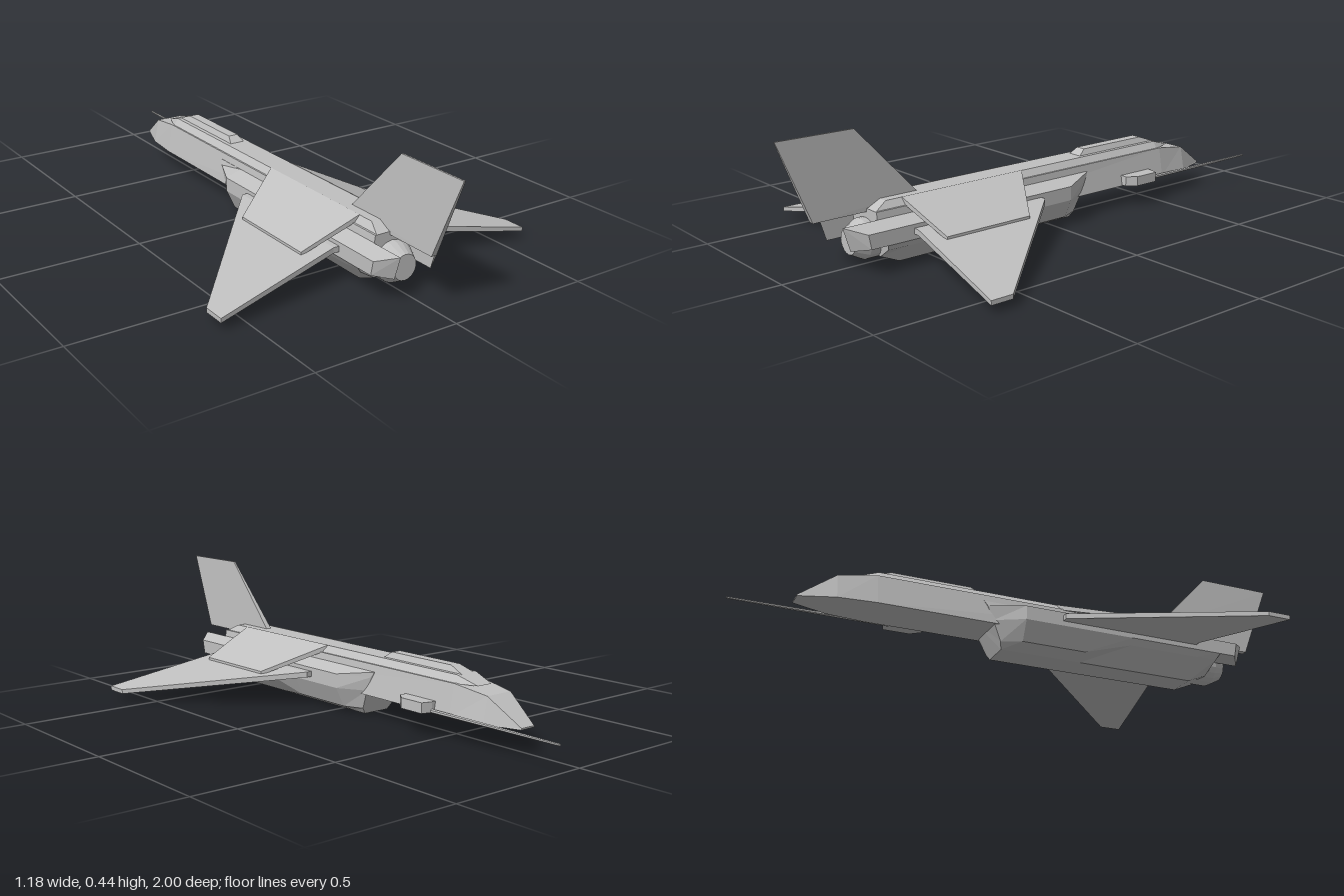
import * as THREE from 'three';
import { ConvexGeometry } from 'three/addons/geometries/ConvexGeometry.js';

const grey = new THREE.MeshStandardMaterial({ color: 0xc0c0c0 });
grey.name = 'light grey';

const flip = (pts) => pts.map(([x, y, z]) => [-x, y, z]);

// Faceted convex solid around a few corner points
const hull = (pts) => new ConvexGeometry(pts.map((p) => new THREE.Vector3(...p)));

// Faceted symmetric body; each section lists [x, y, z] on the +x side, top to bottom,
// and the sections run from -z to +z
function loft(sections) {
  const rings = sections.map((s) => [...s, ...flip(s).reverse()]);
  const n = rings[0].length;
  const out = [];
  const tri = (...c) => c.forEach((p) => out.push(...p));
  for (let i = 0; i < rings.length - 1; i++) {
    for (let j = 0; j < n; j++) {
      const k = (j + 1) % n;
      const a = rings[i][j], b = rings[i][k], c = rings[i + 1][k], d = rings[i + 1][j];
      tri(a, c, b);
      tri(a, d, c);
    }
  }
  const first = rings[0], last = rings[rings.length - 1];
  for (let j = 1; j < n - 1; j++) {
    tri(first[0], first[j], first[j + 1]);
    tri(last[0], last[j + 1], last[j]);
  }
  const g = new THREE.BufferGeometry();
  g.setAttribute('position', new THREE.Float32BufferAttribute(out, 3));
  g.computeVertexNormals();
  return g;
}

export function createModel() {
  const model = new THREE.Group();
  model.name = 'jetAircraft';
  const add = (name, geometry) => {
    const m = new THREE.Mesh(geometry, grey);
    m.name = name;
    model.add(m);
    return m;
  };
  const addPair = (name, pts) => {
    add(name + 'Left', hull(pts));
    add(name + 'Right', hull(flip(pts)));
  };
  const both = (pts) => hull([...pts, ...flip(pts)]);

  // Fuselage with a chisel nose
  const section = (z, top, topY, low) => [[top, topY, z], [low, 0.077, z]];
  add('fuselage', loft([
    section(-0.8, 0.028, 0.082, 0.03),
    section(-0.68, 0.052, 0.163, 0.07),
    section(-0.55, 0.064, 0.182, 0.082),
    section(0.7, 0.066, 0.182, 0.08),
  ]));

  // Raised spine along the back, and the canopy on it
  add('spine', both([
    [0.03, 0.18, -0.62], [0.042, 0.205, -0.54], [0.06, 0.18, -0.54],
    [0.042, 0.205, 0.65], [0.06, 0.18, 0.7],
  ]));
  add('canopy', both([
    [0.018, 0.225, -0.49], [0.018, 0.225, -0.21],
    [0.028, 0.203, -0.55], [0.028, 0.203, -0.18],
  ]));

  // Belly with faceted intake cheeks
  const cheek = (z, lowX, lowY) => [
    [0.07, 0.158, z], [0.128, 0.139, z], [0.128, 0.09, z], [lowX, lowY, z], [0.05, 0, z],
  ];
  add('belly', loft([
    [[0.07, 0.158, -0.18], [0.075, 0.139, -0.168], [0.075, 0.09, -0.148],
      [0.066, 0.022, -0.118], [0.05, 0, -0.11]],
    cheek(-0.05, 0.095, 0.022),
    cheek(0.18, 0.095, 0.022),
    cheek(0.35, 0.112, 0.068),
    cheek(0.61, 0.112, 0.068),
    [[0.07, 0.158, 0.7], [0.128, 0.139, 0.7], [0.128, 0.09, 0.7],
      [0.112, 0.07, 0.69], [0.05, 0.03, 0.68]],
  ]));

  // Tail booms either side of the exhaust
  addPair('tailBoom', [
    [0.07, 0.158, 0.6], [0.128, 0.139, 0.6], [0.128, 0.09, 0.6], [0.07, 0.078, 0.6],
    [0.07, 0.158, 0.825], [0.128, 0.139, 0.77], [0.128, 0.09, 0.76], [0.07, 0.078, 0.8],
  ]);

  // Drooping delta wings, with a flat root strip
  addPair('wing', [
    [0.148, 0.126, 0.085], [0.148, 0.107, 0.085], [0.148, 0.126, 0.603], [0.148, 0.107, 0.603],
    [0.59, 0.041, 0.587], [0.59, 0.026, 0.587], [0.59, 0.041, 0.667], [0.59, 0.026, 0.667],
  ]);
  addPair('wingRoot', [
    [0.1, 0.126, 0.085], [0.1, 0.107, 0.085], [0.1, 0.126, 0.603], [0.1, 0.107, 0.603],
    [0.148, 0.126, 0.085], [0.148, 0.107, 0.085], [0.148, 0.126, 0.603], [0.148, 0.107, 0.603],
  ]);

  // Sloping panels from the spine down onto the wings
  addPair('shoulderPanel', [
    [0.042, 0.206, 0.1], [0.042, 0.188, 0.1], [0.042, 0.206, 0.59], [0.042, 0.188, 0.59],
    [0.24, 0.117, 0.23], [0.24, 0.104, 0.23], [0.24, 0.117, 0.56], [0.24, 0.104, 0.56],
  ]);

  // Swept tail fin
  add('tailFin', both([
    [0.01, 0.205, 0.51], [0.01, 0.171, 0.54], [0.01, 0.171, 0.89],
    [0.003, 0.44, 0.73], [0.003, 0.44, 1],
  ]));

  // Exhaust nozzle
  const profile = [[0, 0.6], [0.067, 0.6], [0.067, 0.72], [0.043, 0.765], [0, 0.765]];
  const nozzle = new THREE.LatheGeometry(
    profile.map(([r, y]) => new THREE.Vector2(r, y)), 20).toNonIndexed();
  nozzle.computeVertexNormals();
  nozzle.rotateX(Math.PI / 2);
  add('exhaustNozzle', nozzle).position.y = 0.085;

  // Side housing and long probe, on the +x side only
  const housing = [];
  for (const y of [0.08, 0.115]) {
    housing.push([0.07, y, -0.48], [0.09, y, -0.48], [0.126, y, -0.47],
      [0.126, y, -0.375], [0.1, y, -0.342], [0.07, y, -0.342]);
  }
  add('probeHousing', hull(housing));
  const probe = new THREE.CylinderGeometry(0.004, 0.007, 0.54, 6).toNonIndexed();
  probe.computeVertexNormals();
  probe.rotateX(-Math.PI / 2);
  add('probe', probe).position.set(0.09, 0.085, -0.73);

  return model;
}
